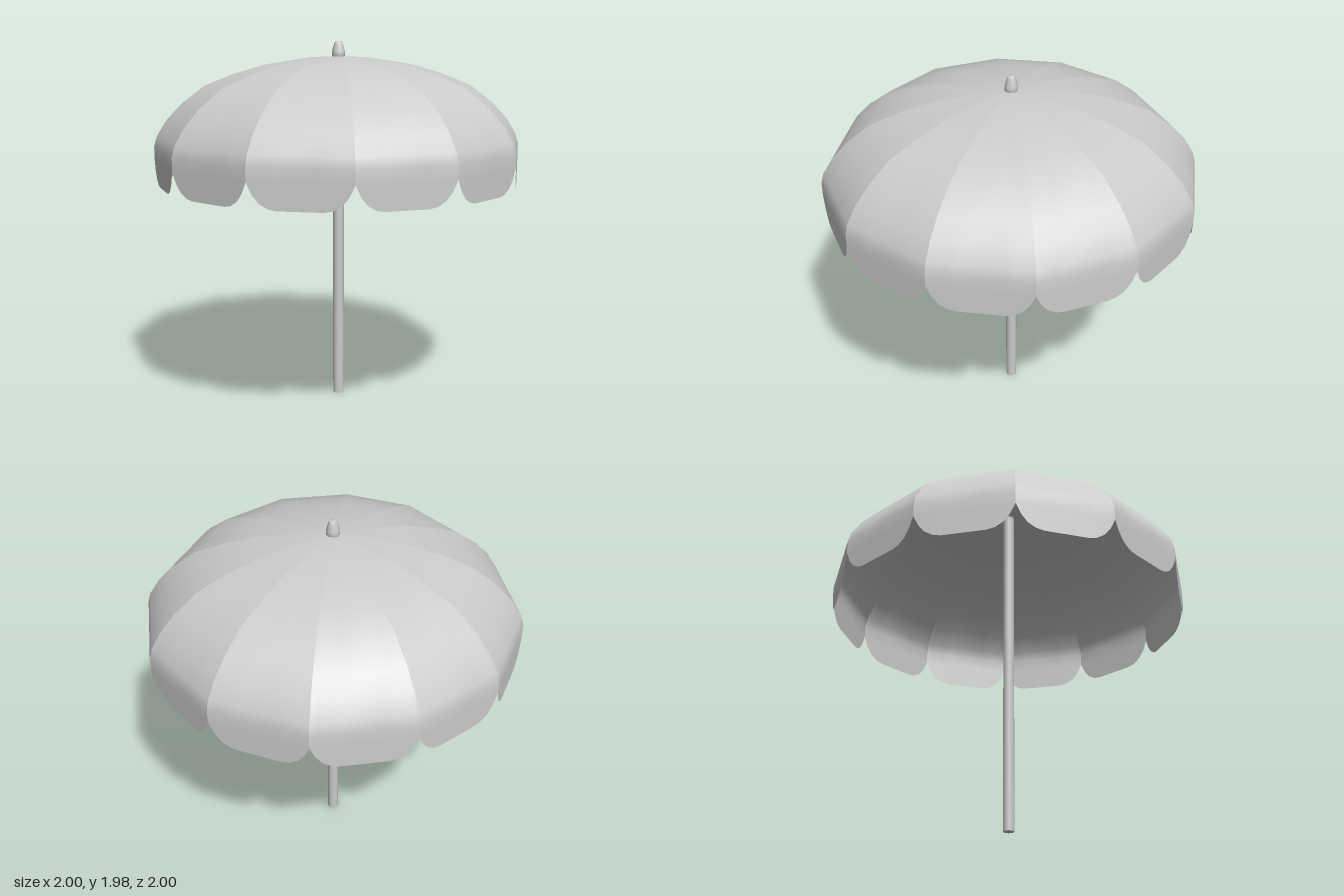
import * as THREE from 'three';

const PANELS = 12;
const RIM_Y = 1.35;

// Canopy ridge as [radius, height], from crown to rim
const RIDGE = [[0, 1.9], [0.17, 1.893], [0.4, 1.857], [0.56, 1.81], [0.72, 1.747],
  [0.85, 1.648], [0.93, 1.562], [0.985, 1.475], [1, 1.42], [1, RIM_Y]];

// Scalloped lower edge as [position across the panel, height], first half
const HALF = [[0, RIM_Y], [0.055, 1.29], [0.12, 1.25], [0.2, 1.226], [0.28, 1.218]];
const SCALLOP = [...HALF, ...HALF.map(([u, y]) => [1 - u, y]).reverse()];

// One flat-spanned cloth panel between two neighbouring ridges
function panelGeometry() {
  const end = (Math.PI * 2) / PANELS;
  const cols = SCALLOP.length;
  const pos = [];
  const idx = [];
  const addPoint = (u, r, y) => pos.push(
    r * (1 - u + u * Math.cos(end)), y, r * u * Math.sin(end));

  for (const [r, y] of RIDGE) SCALLOP.forEach(([u]) => addPoint(u, r, y));
  SCALLOP.forEach(([u, y]) => addPoint(u, 1, y));

  for (let i = 0; i < RIDGE.length; i++) {
    for (let j = 0; j < cols - 1; j++) {
      const a = i * cols + j, b = a + 1, c = a + cols, d = c + 1;
      idx.push(a, d, c);
      if (i > 0) idx.push(a, b, d);
    }
  }
  const geo = new THREE.BufferGeometry();
  geo.setAttribute('position', new THREE.Float32BufferAttribute(pos, 3));
  geo.setIndex(idx);
  geo.computeVertexNormals();
  return geo;
}

export function createModel() {
  const model = new THREE.Group();
  model.name = 'parasol';
  const grey = new THREE.MeshStandardMaterial({ color: 0xcccccc });
  const cloth = new THREE.MeshStandardMaterial({ color: 0xcccccc, side: THREE.DoubleSide });

  // Canopy: the panel repeated round the pole, seams stay sharp
  const canopy = new THREE.Group();
  canopy.name = 'canopy';
  const panel = panelGeometry();
  for (let i = 0; i < PANELS; i++) {
    const mesh = new THREE.Mesh(panel, cloth);
    mesh.name = 'canopyPanel';
    mesh.rotation.y = (i * Math.PI * 2) / PANELS;
    canopy.add(mesh);
  }
  model.add(canopy);

  // Pole
  const pole = new THREE.Mesh(new THREE.CylinderGeometry(0.03, 0.03, 1.9, 12), grey);
  pole.name = 'pole';
  pole.position.y = 0.95;
  model.add(pole);

  // Finial on the crown
  const profile = [[0.03, 1.89], [0.036, 1.905], [0.036, 1.925], [0.024, 1.968], [0.018, 1.98], [0, 1.98]];
  const finial = new THREE.Mesh(
    new THREE.LatheGeometry(profile.map(([r, y]) => new THREE.Vector2(r, y)), 8, Math.PI / 8), grey);
  finial.name = 'finial';
  model.add(finial);

  return model;
}
